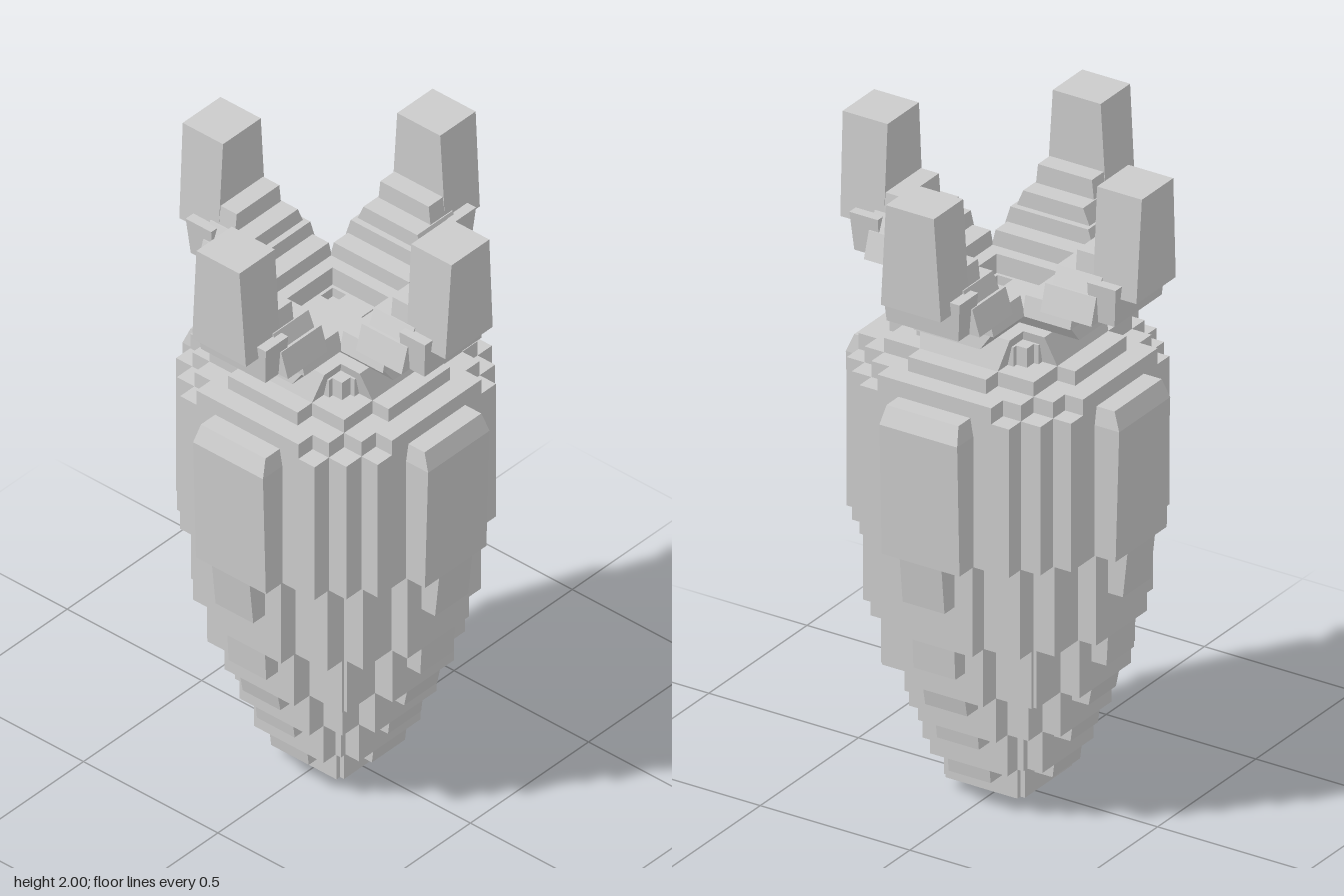
import * as THREE from 'three';

const material = new THREE.MeshStandardMaterial({ color: 0xcccccc, flatShading: true });

function add(parent, geometry, name) {
  const mesh = new THREE.Mesh(geometry, material);
  mesh.name = name;
  parent.add(mesh);
}

// Stepped disc: corners lists [reach, halfWidth] from the axis to the diagonal
function tier(parent, name, y0, y1, corners) {
  const mirrored = corners.filter(([a, b]) => a !== b).map(([a, b]) => [b, a]).reverse();
  const steps = [...corners, ...mirrored];
  const quadrant = [];
  steps.forEach(([a, b], i) => {
    quadrant.push([a, b]);
    if (i + 1 < steps.length) quadrant.push([steps[i + 1][0], b]);
  });
  const points = [];
  for (let q = 0; q < 4; q++) {
    for (const [x, y] of quadrant) {
      points.push(new THREE.Vector2(x, y).rotateAround(new THREE.Vector2(), q * Math.PI / 2));
    }
  }
  const geo = new THREE.ExtrudeGeometry(new THREE.Shape(points), { depth: y1 - y0, bevelEnabled: false });
  geo.rotateX(-Math.PI / 2);
  geo.translate(0, y0, 0);
  add(parent, geo, name);
}

// Box from x0 to x1 and y0 to y1; half width and outer reach may taper to the top
function block(parent, name, x0, x1, y0, y1, w0, w1 = w0, x1Top = x1) {
  const geo = new THREE.BoxGeometry(1, 1, 1);
  const p = geo.attributes.position;
  for (let i = 0; i < p.count; i++) {
    const top = p.getY(i) > 0;
    const outer = top ? x1Top : x1;
    p.setXYZ(i, p.getX(i) > 0 ? outer : x0, top ? y1 : y0, 2 * p.getZ(i) * (top ? w1 : w0));
  }
  geo.computeVertexNormals();
  add(parent, geo, name);
}

// One tail fin climbing outwards in steps along +x
function tailFin() {
  const fin = new THREE.Group();
  fin.name = 'tailFin';
  block(fin, 'finRoot', 0, 0.11, 1.43, 1.52, 0.05);
  block(fin, 'finStep', 0.1, 0.25, 1.43, 1.52, 0.13, 0.15, 0.22);
  block(fin, 'finStep', 0.11, 0.31, 1.52, 1.58, 0.11, 0.15, 0.3);
  block(fin, 'finStep', 0.15, 0.31, 1.57, 1.63, 0.155, 0.14);
  block(fin, 'finStep', 0.21, 0.38, 1.6, 1.68, 0.155, 0.13);
  block(fin, 'finStep', 0.23, 0.38, 1.66, 1.73, 0.13, 0.1);
  block(fin, 'finCollar', 0.35, 0.435, 1.6, 1.72, 0.12, 0.13, 0.445);
  block(fin, 'finStep', 0.29, 0.36, 1.7, 1.79, 0.1, 0.09);
  block(fin, 'finTip', 0.35, 0.495, 1.68, 2, 0.1, 0.08, 0.5);
  return fin;
}

// Raised panel and the tabs that hang below each body tier, along +x
function sideTrim() {
  const trim = new THREE.Group();
  trim.name = 'sideTrim';
  block(trim, 'panel', 0.3, 0.445, 0.87, 1.28, 0.13, 0.13, 0.457);
  block(trim, 'panelChamfer', 0.3, 0.457, 1.28, 1.335, 0.13, 0.12, 0.435);
  const tabs = [
    [0.43, 0.73, 0.87, 0.445], [0.375, 0.5, 0.59, 0.38], [0.315, 0.36, 0.41, 0.325],
    [0.255, 0.23, 0.27, 0.26], [0.195, 0.1, 0.14, 0.2],
  ];
  for (const [reach, y0, y1, reachTop] of tabs) {
    block(trim, 'tab', 0.05, reach, y0, y1, 0.07, 0.07, reachTop);
  }
  return trim;
}

export function createModel() {
  const model = new THREE.Group();
  model.name = 'finnedBomb';

  // Body, from the nose upwards
  const body = new THREE.Group();
  body.name = 'body';
  tier(body, 'noseTip', 0, 0.04, [[0.07, 0.07]]);
  tier(body, 'nose', 0.04, 0.14, [[0.135, 0.12], [0.12, 0.12]]);
  tier(body, 'bodyTier', 0.14, 0.27, [[0.2, 0.13], [0.15, 0.15]]);
  tier(body, 'bodyTier', 0.27, 0.41, [[0.26, 0.13], [0.2, 0.2]]);
  tier(body, 'bodyTier', 0.41, 0.59, [[0.325, 0.13], [0.26, 0.25]]);
  tier(body, 'bodyTier', 0.59, 0.87, [[0.38, 0.13], [0.32, 0.25]]);
  tier(body, 'mainBody', 0.87, 1.335, [[0.375, 0.25], [0.315, 0.315]]);
  tier(body, 'shoulder', 1.335, 1.385, [[0.375, 0.19], [0.315, 0.25]]);
  tier(body, 'shoulder', 1.385, 1.43, [[0.31, 0.13], [0.25, 0.25]]);
  tier(body, 'neck', 1.43, 1.49, [[0.2, 0.15], [0.185, 0.185]]);
  model.add(body);

  // Four-fold trim and tail
  for (let i = 0; i < 4; i++) {
    for (const part of [sideTrim(), tailFin()]) {
      part.rotation.y = i * Math.PI / 2;
      model.add(part);
    }
  }
  return model;
}
